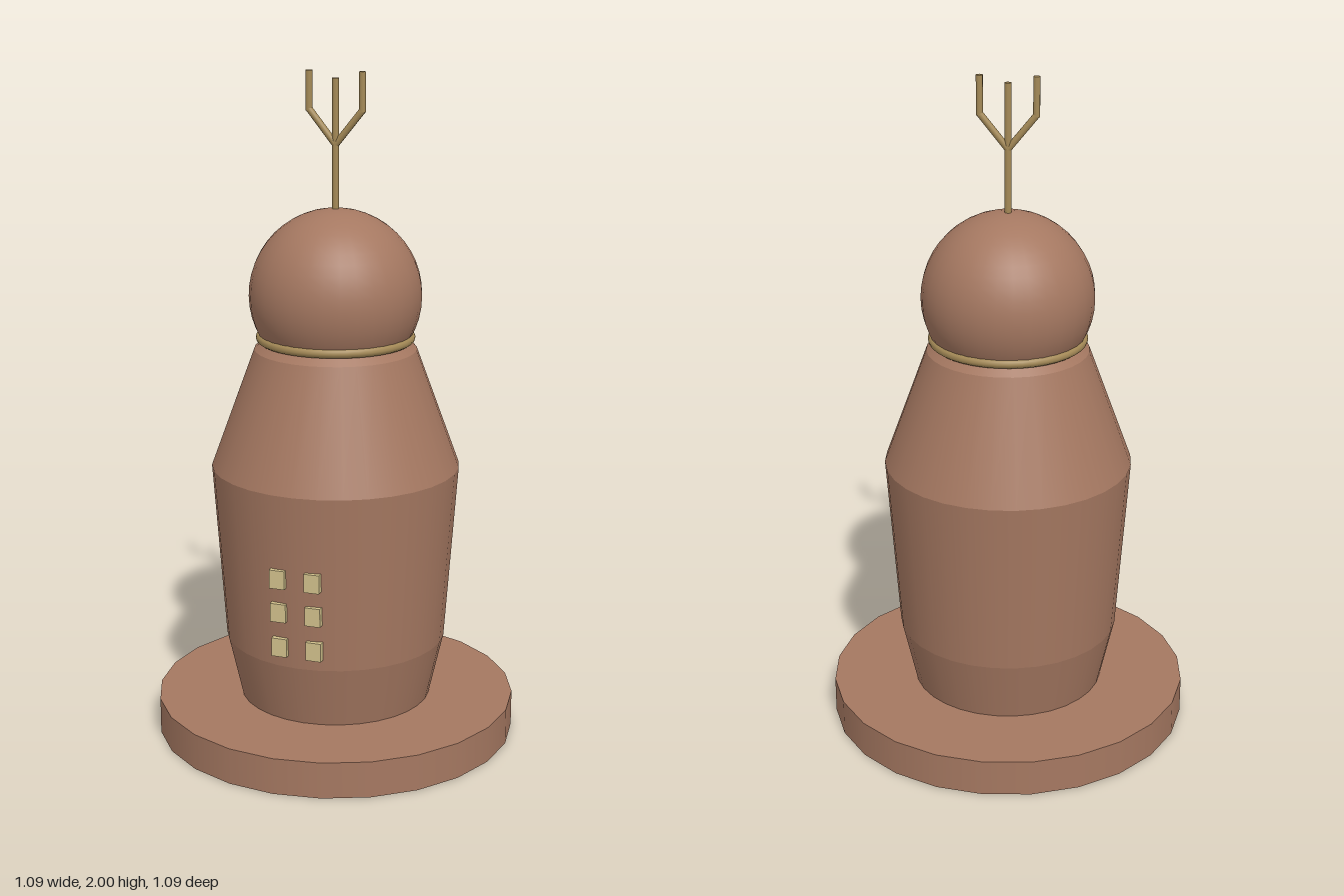
import * as THREE from 'three';

export function createModel() {
  const model = new THREE.Group();
  model.name = 'towerStatue';

  const clay = new THREE.MeshStandardMaterial({ color: 0xa57861 });
  clay.name = 'clay brown';
  const brass = new THREE.MeshStandardMaterial({ color: 0xa58a57 });
  brass.name = 'brass';
  const pane = new THREE.MeshStandardMaterial({ color: 0xd2c18c });
  pane.name = 'pale window';

  const add = (name, geometry, material, x = 0, y = 0, z = 0, parent = model) => {
    const mesh = new THREE.Mesh(geometry, material);
    mesh.name = name;
    mesh.position.set(x, y, z);
    parent.add(mesh);
    return mesh;
  };

  // Round plinth
  add('plinth', new THREE.CylinderGeometry(0.545, 0.545, 0.11, 24), clay, 0, 0.055, 0);

  // Body: smooth around, with creases between the stacked bands
  const profile = [[0.29, 0.11], [0.333, 0.3], [0.371, 0.835], [0.241, 1.19], [0.22, 1.21]];
  const body = new THREE.Group();
  body.name = 'body';
  model.add(body);
  for (let i = 0; i < profile.length - 1; i++) {
    const [r0, y0] = profile[i];
    const [r1, y1] = profile[i + 1];
    add('bodyBand', new THREE.CylinderGeometry(r1, r0, y1 - y0, 32, 1, true), clay, 0, (y0 + y1) / 2, 0, body);
  }
  const shoulder = add('bodyTop', new THREE.CircleGeometry(0.22, 32), clay, 0, 1.21, 0, body);
  shoulder.rotation.x = -Math.PI / 2;

  // Head and collar
  add('head', new THREE.SphereGeometry(0.255, 32, 24), clay, 0, 1.35, 0);
  const collar = add('collar', new THREE.TorusGeometry(0.222, 0.014, 10, 40), brass, 0, 1.225, 0);
  collar.rotation.x = Math.PI / 2;

  // Three-pronged antenna
  const antenna = new THREE.Group();
  antenna.name = 'antenna';
  model.add(antenna);
  const rod = (name, x0, y0, x1, y1) => {
    const length = Math.hypot(x1 - x0, y1 - y0);
    const mesh = add(name, new THREE.CylinderGeometry(0.01, 0.01, length, 10), brass,
      (x0 + x1) / 2, (y0 + y1) / 2, 0, antenna);
    mesh.rotation.z = -Math.atan2(x1 - x0, y1 - y0);
  };
  rod('stem', 0, 1.58, 0, 1.98);
  for (const side of [-1, 1]) {
    rod('branch', 0, 1.79, side * 0.081, 1.89);
    rod('prong', side * 0.081, 1.885, side * 0.081, 2);
  }

  // Two columns of windows, following the slope of the front
  for (const [y, z] of [[0.58, 0.352], [0.475, 0.345], [0.365, 0.338]]) {
    for (const side of [-1, 1]) {
      add('window', new THREE.BoxGeometry(0.047, 0.056, 0.022), pane, side * 0.053, y, z);
    }
  }
  return model;
}
